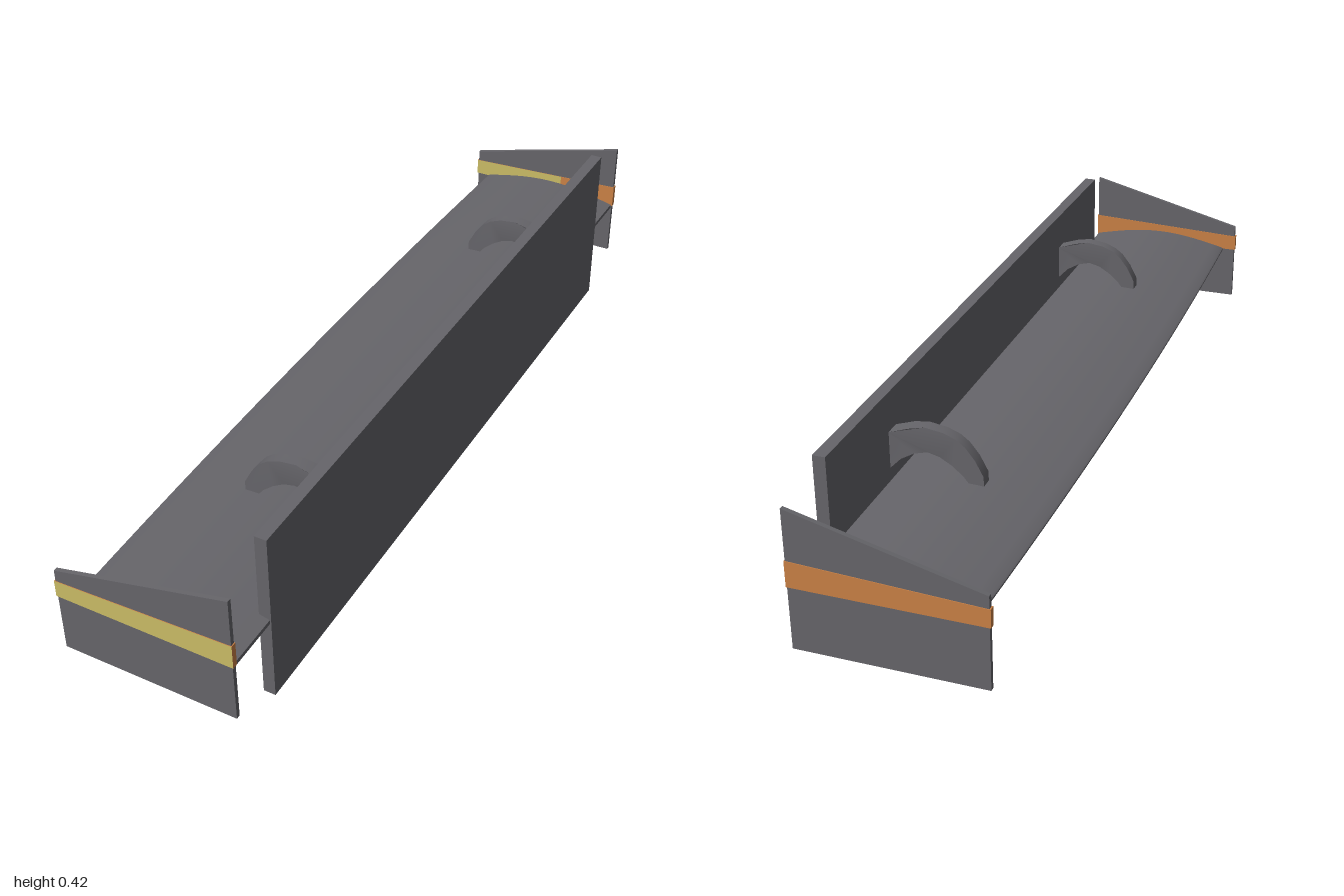
import * as THREE from 'three';
import { toCreasedNormals } from 'three/addons/utils/BufferGeometryUtils.js';

const mat = (name, color) => {
  const m = new THREE.MeshStandardMaterial({ color });
  m.name = name;
  return m;
};

const shapeOf = (pts) => new THREE.Shape(pts.map(([x, y]) => new THREE.Vector2(x, y)));

// Extrude a side outline, centred on z = 0
function slab(pts, depth, steps = 1) {
  const g = new THREE.ExtrudeGeometry(shapeOf(pts), { depth, steps, bevelEnabled: false });
  g.translate(0, 0, -depth / 2);
  return g;
}

// Move every vertex by a rule
function warp(g, rule) {
  const p = g.attributes.position;
  const v = new THREE.Vector3();
  for (let i = 0; i < p.count; i++) {
    v.fromBufferAttribute(p, i);
    rule(v);
    p.setXYZ(i, v.x, v.y, v.z);
  }
  g.computeVertexNormals();
  return g;
}

export function createModel() {
  const model = new THREE.Group();
  model.name = 'rearWing';
  const grey = mat('dark grey', 0x66656a);
  const yellow = mat('yellow', 0xcabc66);
  const orange = mat('orange', 0xca8146);

  const add = (name, geometry, material, x = 0, y = 0, z = 0) => {
    const m = new THREE.Mesh(geometry, material);
    m.name = name;
    m.position.set(x, y, z);
    model.add(m);
    return m;
  };

  // Upright plate along the trailing side
  add('uprightPlate', new THREE.BoxGeometry(0.028, 0.424, 1.72), grey, 0.194, 0.212, 0);

  // Cambered wing blade, its leading edge bowed outward at mid span
  const N = 14, x0 = -0.17, x1 = 0.205;
  const top = [], bottom = [];
  for (let i = 0; i <= N; i++) {
    const t = i / N;
    const x = x0 + (x1 - x0) * t;
    const arch = Math.sin(Math.PI * t);
    top.push([x, 0.213 + 0.028 * arch]);
    bottom.push([x, 0.203 + 0.022 * arch]);
  }
  const nose = [[x0 - 0.004, 0.21], [x0 - 0.004, 0.206]];
  const wing = warp(slab([...bottom, ...top.reverse(), ...nose], 1.976, 16), (v) => {
    const bow = 1 - v.z * v.z;
    v.x -= 0.018 * bow * (x1 - v.x) / (x1 - x0);
  });
  add('wingBlade', toCreasedNormals(wing, 0.6), grey);

  // Curved support arms, wider where they meet the upright plate
  const armOutline = [
    [0.182, 0.247], [0.155, 0.275], [0.125, 0.292], [0.095, 0.299], [0.067, 0.292],
    [0.04, 0.276], [0.015, 0.255], [-0.006, 0.228], [-0.031, 0.228],
    [-0.03, 0.262], [-0.012, 0.297], [0.01, 0.325], [0.03, 0.34], [0.058, 0.351],
    [0.1, 0.357], [0.135, 0.35], [0.182, 0.334],
  ];
  for (const side of [1, -1]) {
    const arm = warp(slab(armOutline, 0.028), (v) => {
      v.z *= 1 + 0.35 * THREE.MathUtils.smoothstep(v.x, 0.09, 0.15);
    });
    add('supportArm', toCreasedNormals(arm, 0.5), grey, 0, 0, side * 0.558);
  }

  // Stripe band section with a rising top edge
  function band(xa, xb, name, z, frontMaterial) {
    const g = warp(new THREE.BoxGeometry(xb - xa, 1, 0.013), (v) => {
      v.x += (xa + xb) / 2;
      v.y = v.y < 0 ? 0.21 : 0.251 + 0.018 * (v.x + 0.21) / 0.42;
    });
    add(name, g, [orange, orange, orange, orange, frontMaterial, orange], 0, 0, z);
  }

  // End plates with their wrapped stripes
  const plateOutline = [[-0.207, 0.067], [0.207, 0.067], [0.207, 0.384], [-0.207, 0.279]];
  for (const side of [1, -1]) {
    const z = side * 0.9935;
    add('endPlate', slab(plateOutline, 0.01), grey, 0, 0, z);
    band(-0.21, 0.05, 'endPlateStripe', z, yellow);
    band(0.05, 0.209, 'endPlateStripeTail', z, side > 0 ? yellow : orange);
  }

  return model;
}
